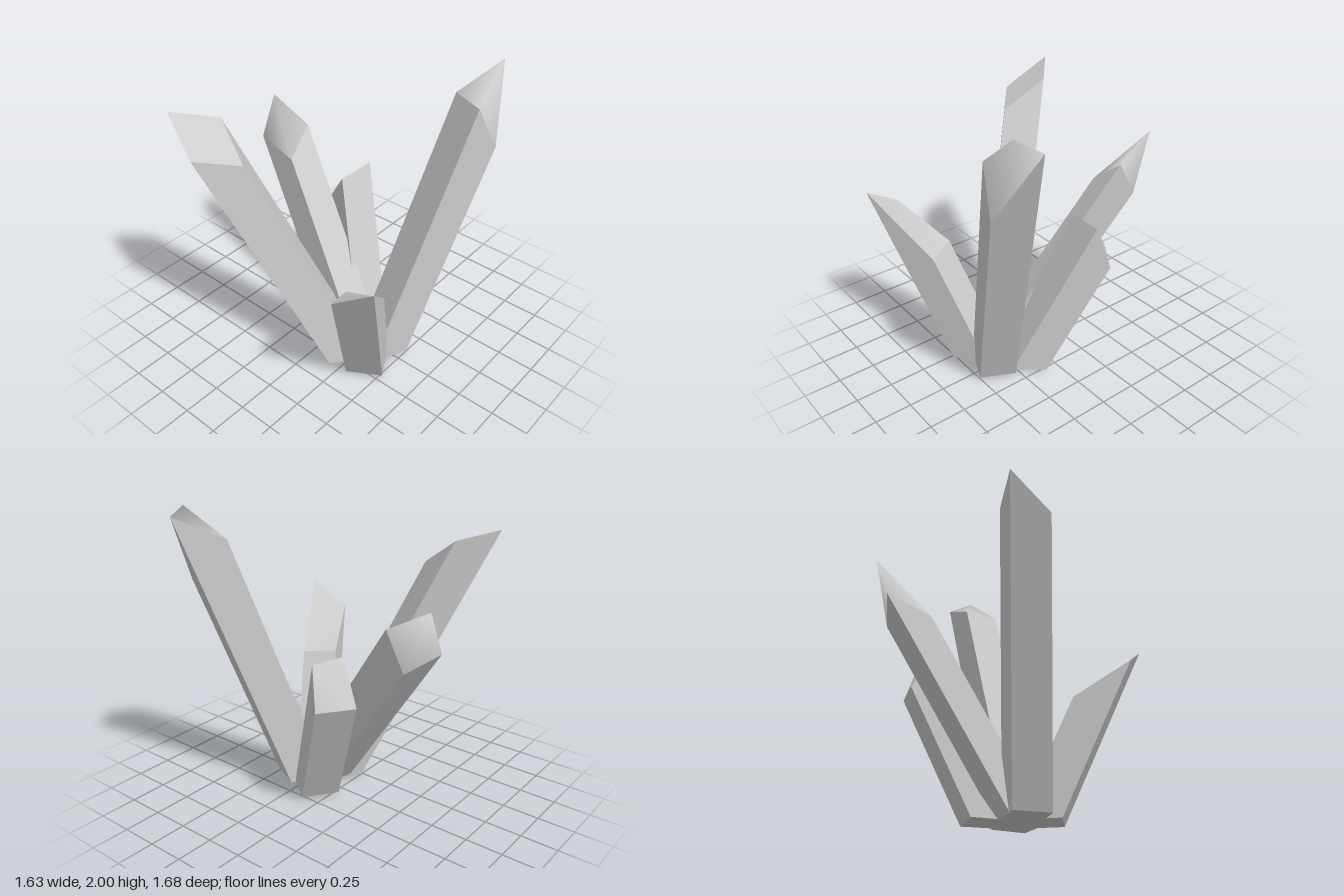
import * as THREE from 'three';

const material = new THREE.MeshStandardMaterial({ color: 0xcccccc });
const flatMaterial = new THREE.MeshStandardMaterial({ color: 0xcccccc, flatShading: true });
const FLOOR = 0.02;

// Each crystal: four top corners [x, y, z] counter-clockwise from above, the lean
// (x and z run per unit of height) and, if the tip is pointed, its apex.
const crystals = [
  { name: 'frontRightCrystal', lean: [-0.39, 0.304],
    top: [[-0.71, 1.79, 0.75], [-0.43, 1.6, 0.84], [-0.24, 1.54, 0.61], [-0.51, 1.73, 0.52]] },
  { name: 'frontLeftCrystal', lean: [0.24, 0.41],
    top: [[0.56, 1.04, 0.76], [0.81, 1.2, 0.7], [0.58, 0.79, 0.3], [0.38, 0.81, 0.42]] },
  { name: 'rightCrystal', lean: [-0.71, -0.21], apex: [-0.81, 1.51, -0.22],
    top: [[-0.82, 1.23, -0.1], [-0.49, 1.19, -0.04], [-0.53, 1.36, -0.25], [-0.66, 1.11, -0.25]] },
  { name: 'tallBackCrystal', lean: [0.15, -0.335], apex: [0.65, 2, -0.68],
    top: [[0.44, 1.8, -0.54], [0.67, 1.8, -0.44], [0.73, 1.51, -0.58], [0.58, 1.96, -0.84]] },
  { name: 'shortBackCrystal', lean: [-0.4, -0.284], foot: 0,
    top: [[-0.37, 0.83, -0.31], [-0.18, 1.09, -0.2], [-0.15, 1.11, -0.46], [-0.22, 0.83, -0.52]] },
];

function buildGeometry(points, index) {
  const geometry = new THREE.BufferGeometry();
  geometry.setAttribute('position', new THREE.Float32BufferAttribute(points.flat(), 3));
  geometry.setIndex(index);
  geometry.computeVertexNormals();
  return geometry;
}

function makeCrystal({ name, lean, top, apex, foot = FLOOR }) {
  const group = new THREE.Group();
  group.name = name;

  // Slide each top corner down along the lean to the floor
  const base = top.map(([x, y, z]) => [x - lean[0] * (y - FLOOR), FLOOR, z - lean[1] * (y - FLOOR)]);
  const center = [0, 2].map((k) => base.reduce((sum, p) => sum + p[k], 0) / 4);

  // Shaft: four sides and the underside
  const points = [...top, ...base, [center[0], foot, center[1]]];
  const sides = [];
  for (let i = 0; i < 4; i++) {
    const j = (i + 1) % 4;
    sides.push(i, 4 + i, 4 + j, i, 4 + j, j, 8, 4 + j, 4 + i);
  }
  const shaft = new THREE.Mesh(buildGeometry(points, sides), flatMaterial);
  shaft.name = 'shaft';

  // Tip: a softly shaded point or a slanted cut
  const tipFaces = apex ? [0, 1, 4, 1, 2, 4, 2, 3, 4, 3, 0, 4] : [0, 1, 2, 0, 2, 3];
  const tip = new THREE.Mesh(buildGeometry(apex ? [...top, apex] : top, tipFaces), material);
  tip.name = 'tip';

  group.add(shaft, tip);
  return group;
}

export function createModel() {
  const model = new THREE.Group();
  model.name = 'crystalCluster';
  crystals.forEach((crystal) => model.add(makeCrystal(crystal)));
  return model;
}
